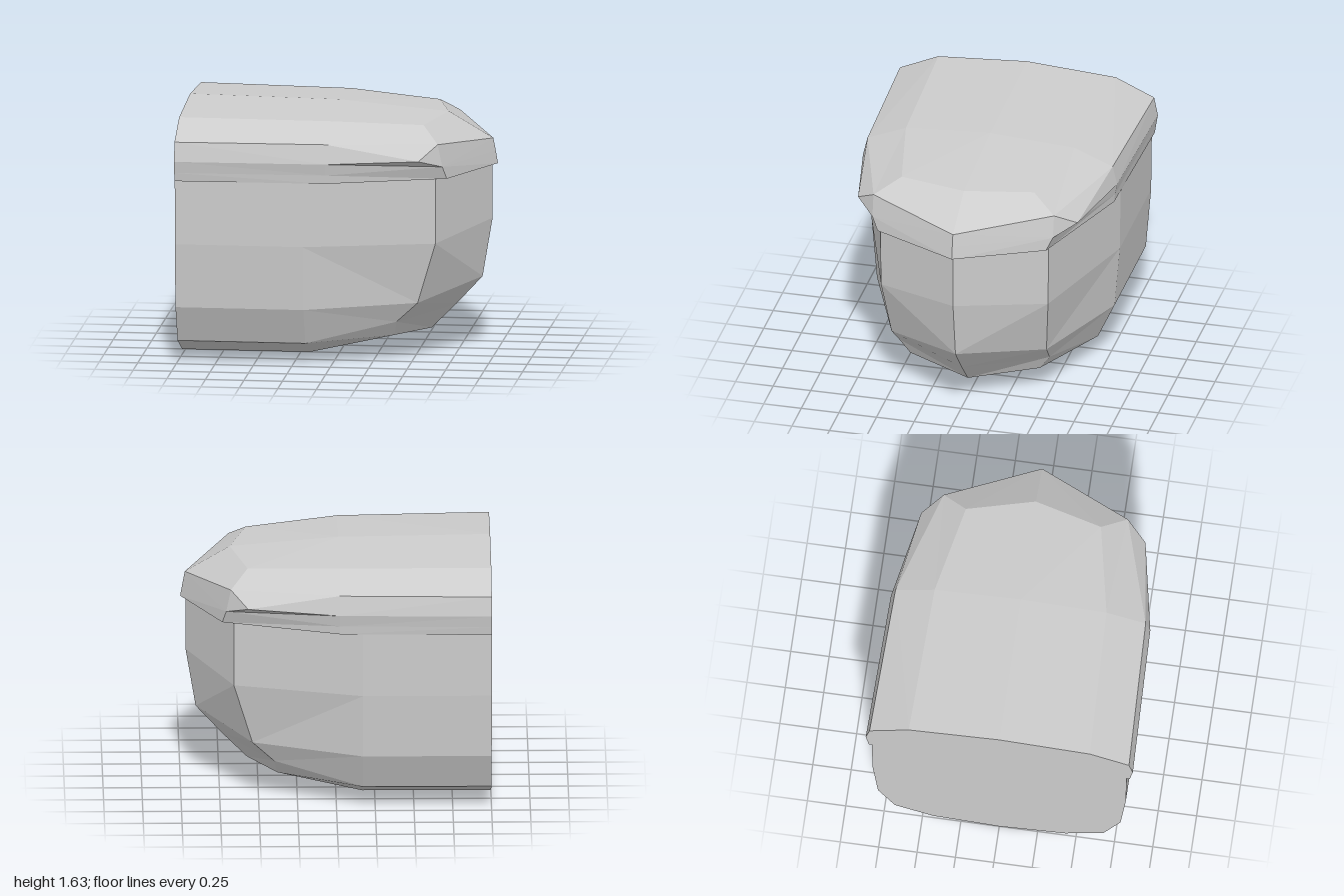
import * as THREE from 'three';

const material = new THREE.MeshStandardMaterial({ color: 0xcccccc, flatShading: true });

// Skins half cross-sections (listed stern to bow, each from bottom to top),
// mirrors them across z = 0 and closes the flat stern.
function skin(name, sections) {
  const positions = [];
  const area = new THREE.Triangle();
  const triangle = (a, b, c) => {
    area.set(...[a, b, c].map((p) => new THREE.Vector3(...p)));
    if (area.getArea() < 1e-6) return;
    positions.push(...a, ...b, ...c);
    for (const [x, y, z] of [a, c, b]) positions.push(x, y, -z);
  };
  for (let s = 0; s < sections.length - 1; s++) {
    const near = sections[s], far = sections[s + 1];
    for (let i = 0; i < near.length - 1; i++) {
      triangle(near[i], far[i], near[i + 1]);
      triangle(far[i], far[i + 1], near[i + 1]);
    }
  }
  const stern = sections[0];
  for (let i = 1; i < stern.length - 1; i++) triangle(stern[0], stern[i], stern[i + 1]);

  const geometry = new THREE.BufferGeometry();
  geometry.setAttribute('position', new THREE.Float32BufferAttribute(positions, 3));
  geometry.computeVertexNormals();
  const mesh = new THREE.Mesh(geometry, material);
  mesh.name = name;
  return mesh;
}

// A section lying in one plane of constant x, from [y, z] pairs
const flat = (x, points) => points.map(([y, z]) => [x, y, z]);

export function createModel() {
  const group = new THREE.Group();
  group.name = 'bowSection';

  // Hull: straight body, shoulder, then the stem on the centre line
  const body = [[0, 0], [0.035, 0.43], [0.14, 0.68], [0.38, 0.79], [0.8, 0.825], [1.22, 0.83], [1.22, 0]];
  const shoulder = [
    [0.57, 0.13, 0], [0.38, 0.16, 0.43], [0.4, 0.26, 0.5], [0.54, 0.39, 0.515],
    [0.66, 0.79, 0.555], [0.66, 1.22, 0.56], [0.66, 1.22, 0],
  ];
  const stem = [
    [0.57, 0.13, 0], [0.57, 0.13, 0], [0.73, 0.29, 0], [0.9, 0.475, 0],
    [0.965, 0.86, 0], [0.965, 1.22, 0], [0.965, 1.22, 0],
  ];
  group.add(skin('hull', [flat(-1, body), flat(-0.17, body), shoulder, stem]));

  // Lid: overhanging rim and rounded roof, pointed at the bow
  const lidStern = flat(-1, [[1.22, 0], [1.22, 0.85], [1.275, 0.858], [1.35, 0.87], [1.475, 0.845], [1.59, 0.59], [1.63, 0]]);
  const lidMiddle = flat(-0.02, [[1.22, 0], [1.22, 0.825], [1.275, 0.83], [1.35, 0.845], [1.475, 0.815], [1.58, 0.56], [1.615, 0]]);
  const lidShoulder = [
    [0.735, 1.22, 0], [0.735, 1.22, 0.56], [0.71, 1.305, 0.6], [0.57, 1.36, 0.73],
    [0.68, 1.45, 0.6], [0.57, 1.545, 0.44], [0.68, 1.555, 0],
  ];
  // The rim corner folds into the point below it before the bow faces start
  const lidFold = lidShoulder.map((p, i) => (i === 3 ? lidShoulder[2] : p));
  const tip = [0.97, 1.385, 0];
  const lidTip = [[1, 1.22, 0], [1, 1.22, 0], [0.985, 1.305, 0], tip, tip, tip, tip];
  group.add(skin('lid', [lidStern, lidMiddle, lidShoulder, lidFold, lidTip]));

  return group;
}
